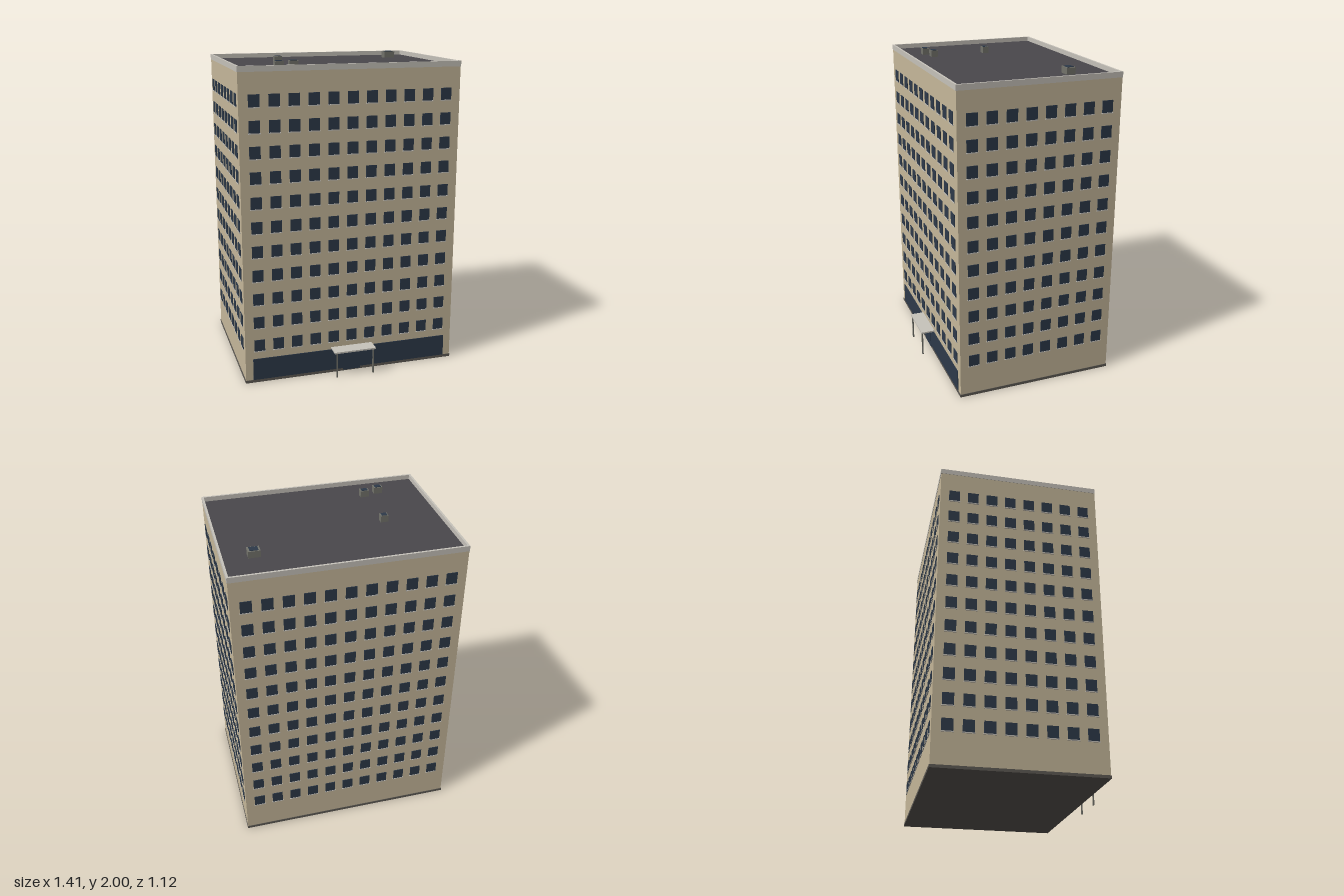
import * as THREE from 'three';

const W = 1.396, D = 1.022, CZ = -0.043; // tower footprint and its centre in z
const ROOF = 1.955, TOP = 1.985;

const paint = (name, color) => {
  const m = new THREE.MeshStandardMaterial({ color });
  m.name = name;
  return m;
};

export function createModel() {
  const model = new THREE.Group();
  model.name = 'officeTower';
  const wall = paint('sandWall', 0xc8ba9c);
  const glass = paint('navyGlass', 0x2d3a4a);
  const concrete = paint('paleConcrete', 0xc8c4bc);
  const tar = paint('roofTar', 0x4a484c);
  const plinthMat = paint('plinthGrey', 0x5f5b55);
  const metal = paint('metalGrey', 0x74746c);

  // Box centred on x and z, standing on y
  const box = (name, mat, w, h, d, x, y, z, parent = model) => {
    const mesh = new THREE.Mesh(new THREE.BoxGeometry(w, h, d), mat);
    mesh.name = name;
    mesh.position.set(x, y + h / 2, z);
    parent.add(mesh);
    return mesh;
  };

  // Main mass, plinth and roof deck
  box('tower', wall, W, ROOF - 0.008, D, 0, 0.004, CZ);
  box('plinth', plinthMat, W + 0.006, 0.018, D + 0.006, 0, 0, CZ);
  box('roofDeck', tar, W - 0.02, 0.006, D - 0.02, 0, ROOF - 0.005, CZ);

  // Parapet around the roof
  const t = 0.013;
  for (const s of [-1, 1]) {
    box('parapetLong', concrete, W + 0.004, TOP - ROOF + 0.004, t, 0, ROOF - 0.004, CZ + s * (D / 2 + 0.002 - t / 2));
    box('parapetShort', concrete, t, TOP - ROOF + 0.004, D + 0.004 - 2 * t, s * (W / 2 + 0.002 - t / 2), ROOF - 0.004, CZ);
  }

  // Window grids with sills, one facade per side
  const facade = (name, columns, pitch, distance, angle) => {
    const side = new THREE.Group();
    side.name = name;
    side.position.z = CZ;
    side.rotation.y = angle;
    for (let row = 0; row < 11; row++) {
      const y = 0.25 + row * 0.1535;
      for (let c = 0; c < columns; c++) {
        const x = (c - (columns - 1) / 2) * pitch;
        box('window', glass, 0.068, 0.074, 0.006, x, y - 0.037, distance + 0.001, side);
        box('windowSill', concrete, 0.074, 0.006, 0.01, x, y - 0.043, distance + 0.001, side);
      }
    }
    model.add(side);
  };
  facade('frontWindows', 11, 0.1212, D / 2, 0);
  facade('backWindows', 11, 0.1212, D / 2, Math.PI);
  facade('leftWindows', 8, 0.1205, W / 2, Math.PI / 2);
  facade('rightWindows', 8, 0.1205, W / 2, -Math.PI / 2);

  // Ground floor shop front and entrance door
  const front = CZ + D / 2;
  box('shopFront', glass, 1.3, 0.142, 0.006, 0, 0.018, front + 0.001);
  box('entranceDoor', glass, 0.116, 0.13, 0.006, 0, 0.006, front + 0.003);

  // Entrance canopy on two posts
  box('canopy', concrete, 0.276, 0.01, 0.09, 0, 0.165, front + 0.045);
  for (const x of [-0.122, 0.122]) box('canopyPost', metal, 0.009, 0.165, 0.009, x, 0, front + 0.082);

  // Roof skylights: metal curb with a glass pane
  const skylights = [
    [-0.42, 0.317, 0.056, 0.043], [-0.322, 0.287, 0.056, 0.043],
    [-0.337, -0.077, 0.048, 0.042], [0.505, -0.298, 0.073, 0.058],
  ];
  for (const [x, z, w, d] of skylights) {
    box('skylightCurb', metal, w, 0.042, d, x, ROOF, z);
    box('skylightPane', glass, w * 0.7, 0.005, d * 0.75, x, 1.995, z);
  }
  return model;
}
